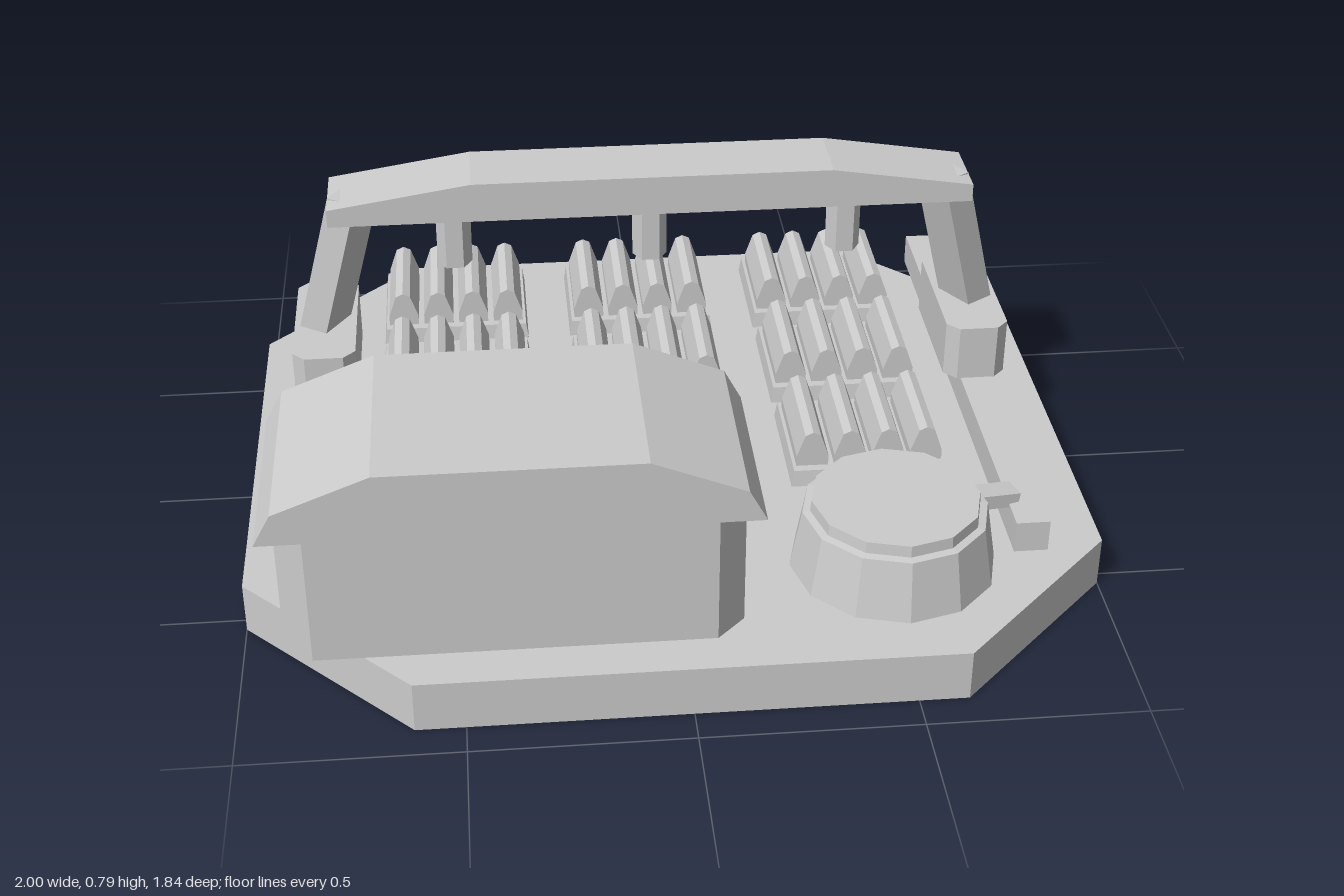
import * as THREE from 'three';

// Double sided because the ground slab is an open shell
const grey = new THREE.MeshStandardMaterial({
  color: 0xcccccc, flatShading: true, side: THREE.DoubleSide });
grey.name = 'plainGrey';

export function createModel() {
  const root = new THREE.Group();
  root.name = 'farmPlot';

  const add = (name, geo, x = 0, y = 0, z = 0, parent = root) => {
    const mesh = new THREE.Mesh(geo, grey);
    mesh.name = name;
    mesh.position.set(x, y, z);
    parent.add(mesh);
    return mesh;
  };
  const box = (name, w, h, d, x, y, z, parent) =>
    add(name, new THREE.BoxGeometry(w, h, d), x, y, z, parent);
  const toShape = pts => new THREE.Shape(pts.map(p => new THREE.Vector2(...p)));
  const extrude = (pts, depth) =>
    new THREE.ExtrudeGeometry(toShape(pts), { depth, bevelEnabled: false });
  // Rectangle with cut corners
  const cutRect = (w, d, cx, cz = cx) => {
    const a = w / 2, b = d / 2;
    return [[a, cz - b], [a, b - cz], [a - cx, b], [cx - a, b],
      [-a, b - cz], [-a, cz - b], [cx - a, -b], [a - cx, -b]];
  };
  // Upright block standing on its own origin
  const block = (pts, h) => extrude(pts, h).rotateX(-Math.PI / 2);

  // Ground slab: a top plate and a skirt, open underneath
  const ground = 0.125;
  const outline = cutRect(2, 1.84, 0.387, 0.385);
  add('baseTop', new THREE.ShapeGeometry(toShape(outline)).rotateX(-Math.PI / 2), 0, ground, 0);
  const skirt = [];
  outline.forEach(([x, y], i) => {
    const [u, v] = outline[(i + 1) % outline.length];
    skirt.push(x, 0, -y, u, 0, -v, u, ground, -v, x, 0, -y, u, ground, -v, x, ground, -y);
  });
  const skirtGeo = new THREE.BufferGeometry();
  skirtGeo.setAttribute('position', new THREE.Float32BufferAttribute(skirt, 3));
  skirtGeo.computeVertexNormals();
  add('baseSkirt', skirtGeo);

  // Planting beds, each with four ridges of soil
  const ridge = extrude([[-0.039, 0], [0.039, 0], [0.039, 0.028], [0.019, 0.086],
    [0, 0.095], [-0.019, 0.086], [-0.039, 0.028]], 0.265);
  const bedGeo = new THREE.BoxGeometry(0.385, 0.042, 0.32);
  const bp = bedGeo.attributes.position;
  for (let i = 0; i < bp.count; i++) {
    if (bp.getY(i) > 0) bp.setXYZ(i, bp.getX(i) * 0.97, 0.021, bp.getZ(i) * 0.965);
  }
  bedGeo.computeVertexNormals();
  for (const x of [-0.497, 0, 0.497]) {
    for (const z of [-0.668, -0.287, 0.093]) {
      const bed = new THREE.Group();
      bed.name = 'plantingBed';
      bed.position.set(x, ground, z);
      root.add(bed);
      add('bedFrame', bedGeo, 0, 0.021, 0, bed);
      for (let i = 0; i < 4; i++) {
        add('cropRidge', ridge, (i - 1.5) * 0.093, 0.041, -0.1325, bed);
      }
    }
  }

  // Rails, carriages and leaning gantry legs on both sides
  for (const s of [-1, 1]) {
    box('rail', 0.08, 0.08, 1.4, s * 0.824, 0.165, -0.14);
    add('carriage', block(cutRect(0.156, 0.39, 0.03), 0.145), s * 0.822, 0.205, -0.272);

    const leg = new THREE.BoxGeometry(0.08, 0.435, 0.11);
    leg.rotateY(s * 0.574);
    const p = leg.attributes.position;
    for (let i = 0; i < p.count; i++) {
      const t = p.getY(i) > 0 ? 1 : 0;
      p.setX(i, p.getX(i) - s * 0.11 * t);
      p.setZ(i, p.getZ(i) + 0.068 * t);
    }
    leg.computeVertexNormals();
    add('gantryLeg', leg, s * 0.834, 0.5225, -0.273);
  }

  // Gantry beam with hanging nozzles
  add('gantryBeam', extrude([[-0.788, 0.69], [0.788, 0.69], [0.788, 0.735],
    [0.44, 0.79], [-0.44, 0.79], [-0.788, 0.735]], 0.18), 0, 0, -0.303);
  for (const x of [-0.487, -0.002, 0.484]) {
    add('nozzle', new THREE.CylinderGeometry(0.043, 0.043, 0.16, 6).rotateY(Math.PI / 6),
      x, 0.615, -0.213);
  }

  // Barn
  const barn = new THREE.Group();
  barn.name = 'barn';
  root.add(barn);
  add('barnWalls', block(cutRect(1.02, 0.42, 0.065), 0.335), -0.383, ground, 0.607, barn);
  add('barnRoof', extrude([[-0.925, 0.46], [0.16, 0.46], [0.12, 0.535], [-0.09, 0.62],
    [-0.672, 0.62], [-0.885, 0.535]], 0.485), 0, 0, 0.362, barn);

  // Arched double door on the back wall
  const arch = (w, h, cut) => [[-w, 0], [w, 0], [w, h - cut],
    [w - cut, h], [cut - w, h], [-w, h - cut]];
  add('doorFrame', extrude(arch(0.152, 0.275, 0.075), 0.06), -0.597, ground, 0.345, barn);
  add('doorPanel', extrude(arch(0.105, 0.215, 0.05), 0.03), -0.597, ground, 0.33, barn);
  for (const s of [-1, 1]) {
    box('doorLeaf', 0.06, 0.13, 0.01, -0.597 + s * 0.045, 0.215, 0.326, barn);
    box('doorHandle', 0.02, 0.045, 0.022, -0.597 + s * 0.025, 0.23, 0.321, barn);
  }

  // Sprout ornament on the back gable
  for (const s of [-1, 1]) {
    const leaf = add('sproutLeaf', extrude([[0, 0], [0.02, 0.045], [0.012, 0.085],
      [0, 0.12], [-0.014, 0.07], [-0.014, 0.03]], 0.02), -0.345, 0.495, 0.345, barn);
    leaf.rotation.z = s * 0.65;
  }
  box('sproutStem', 0.018, 0.04, 0.018, -0.345, 0.488, 0.355, barn);

  // Water tank with raised lid and a spout towards the rail
  const tank = [[0, ground], [0.24, ground], [0.215, 0.272], [0.197, 0.275],
    [0.195, 0.303], [0, 0.303]].map(p => new THREE.Vector2(...p));
  add('waterTank', new THREE.LatheGeometry(tank, 12), 0.495, 0, 0.564);
  const spout = box('spout', 0.14, 0.036, 0.055, 0.735, 0.22, 0.468);
  spout.rotation.set(0, 0.3, -0.15);

  return root;
}
